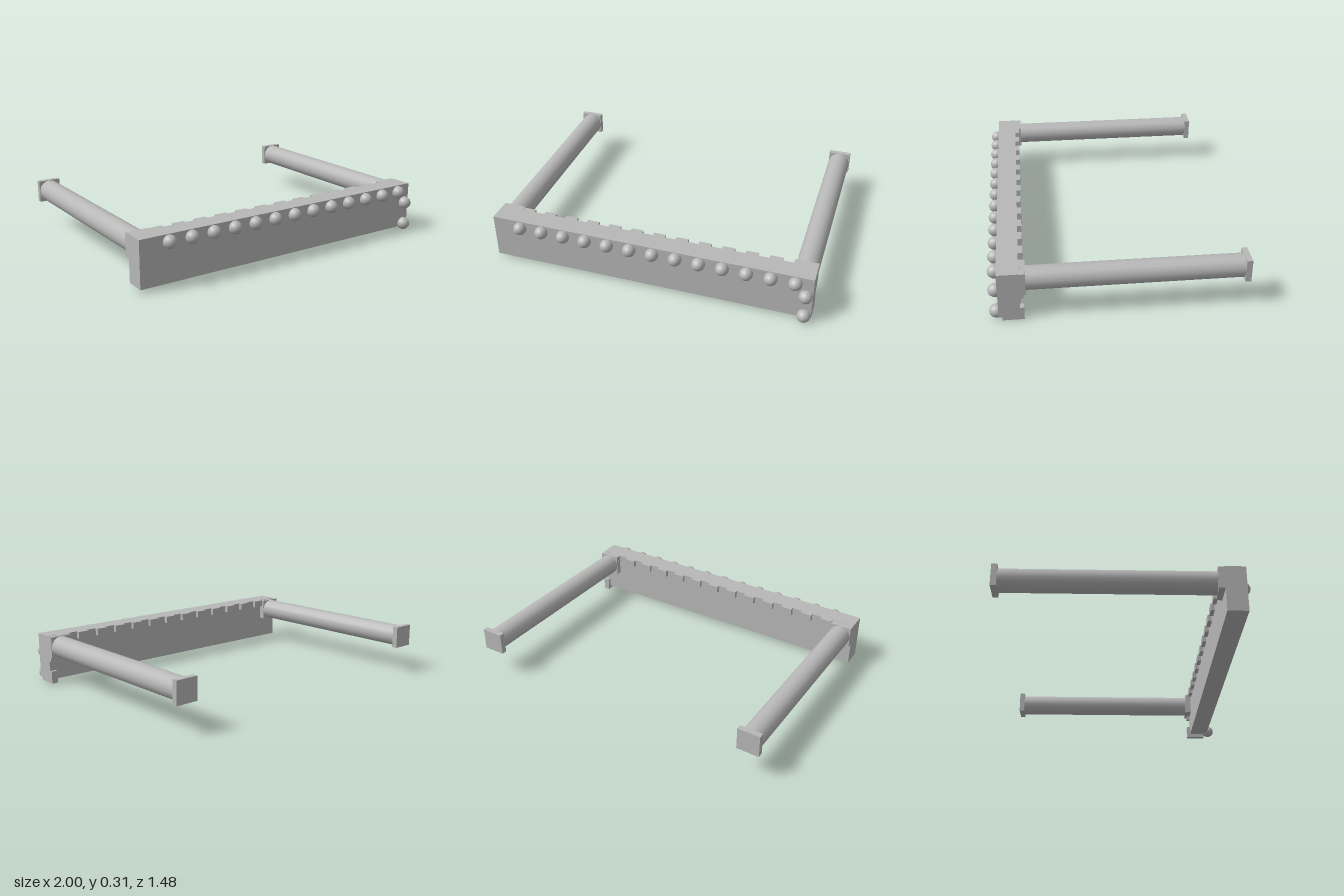
import * as THREE from 'three';

export function createModel() {
  const model = new THREE.Group();
  model.name = 'beamFrame';
  const grey = new THREE.MeshStandardMaterial({ color: 0xb8b8b8 });
  grey.name = 'stone grey';

  const add = (name, geometry, x, y, z) => {
    const mesh = new THREE.Mesh(geometry, grey);
    mesh.name = name;
    mesh.position.set(x, y, z);
    model.add(mesh);
    return mesh;
  };
  // Box given by its limits on each axis
  const box = (name, x0, x1, y0, y1, z0, z1) =>
    add(name, new THREE.BoxGeometry(x1 - x0, y1 - y0, z1 - z0),
      (x0 + x1) / 2, (y0 + y1) / 2, (z0 + z1) / 2);

  // Front beam
  box('beam', -1, 1, 0.022, 0.307, 0.565, 0.687);

  // End plate reaching the ground, with toothed rear edge
  box('endPlate', 0.96, 1, 0, 0.03, 0.565, 0.667);
  for (const y of [0.04, 0.183]) {
    box('endTooth', 0.96, 1, y - 0.04, y + 0.04, 0.543, 0.57);
  }

  // Studs along the top of the beam, each with a tooth behind it
  const ball = new THREE.SphereGeometry(0.04, 20, 14);
  const stud = (x, y) => {
    add('stud', ball, x, y, 0.697).scale.z = 1.08;
  };
  const pitch = 0.1428;
  for (let i = 0; i < 13; i++) {
    const x = -0.818 + i * pitch;
    stud(x, 0.265);
    box('topTooth', x - 0.038, x + 0.038, 0.262, 0.307, 0.54, 0.57);
  }
  // Studs down the left end
  stud(0.96, 0.185);
  stud(0.96, 0.042);

  // Round side poles with square end blocks
  const pole = new THREE.CylinderGeometry(0.069, 0.069, 1.24, 18).rotateX(Math.PI / 2);
  for (const s of [-1, 1]) {
    const x = s * 0.93;
    add('sidePole', pole, x, 0.235, -0.09);
    box('rearBlock', x - 0.07, x + 0.07, 0.166, 0.305, -0.741, -0.707);
    box('frontBlock', x - 0.07, x + 0.07, 0.166, 0.305, 0.528, 0.57);
  }
  return model;
}
